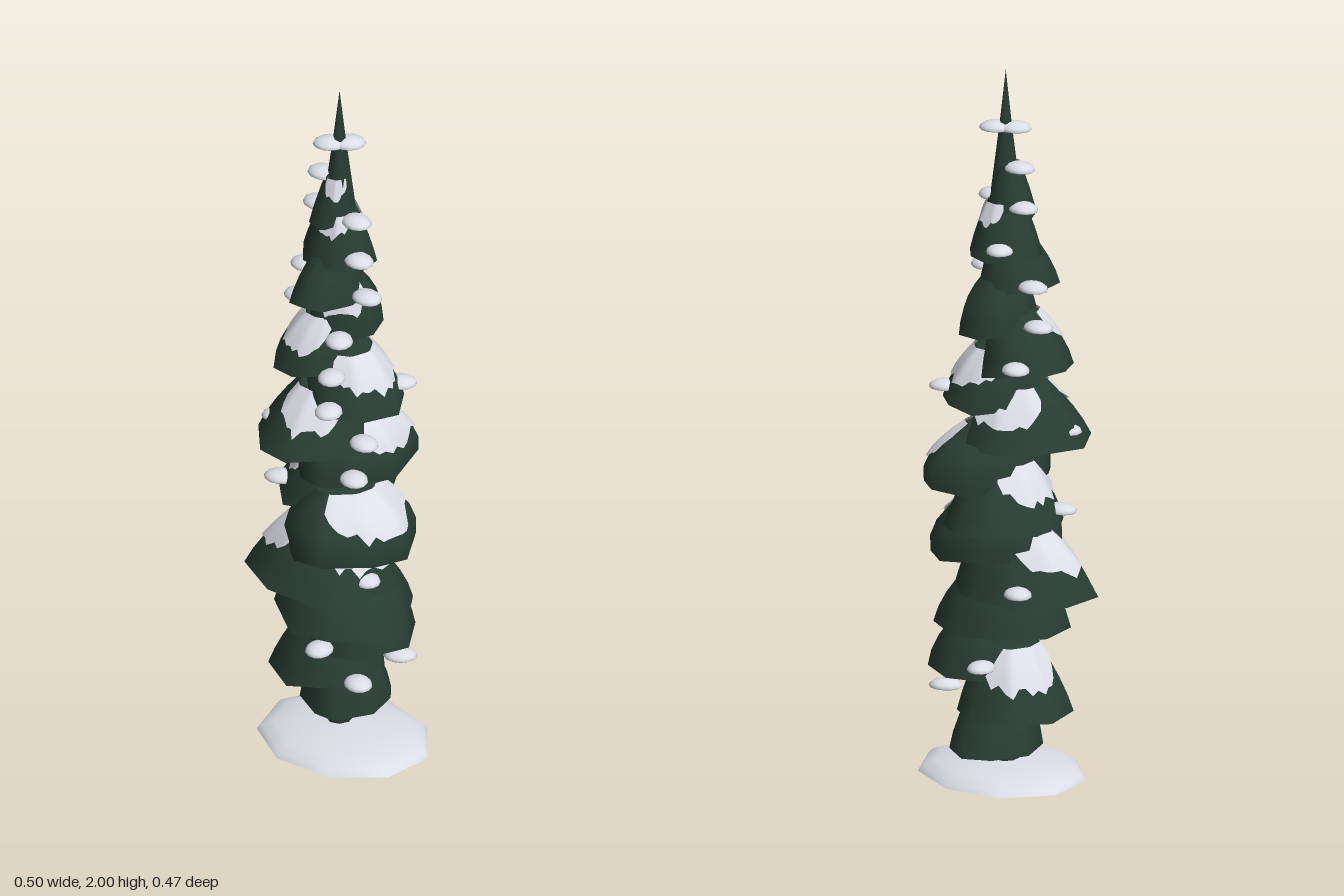
import * as THREE from 'three';

const AX = -0.02; // trunk axis x
const SIDES = 9;

// Each tier, from the ground up: rim extents xmin, xmax, zmin, zmax, then bulge
const TIERS = [
  [-0.15, 0.09, -0.18, 0.09, 0.10],
  [-0.23, 0.09, -0.17, 0.16, 0.06],
  [-0.12, 0.16, -0.20, 0.12, 0.14],
  [-0.16, 0.22, -0.17, 0.22, 0.10],
  [-0.24, 0.17, -0.14, 0.24, 0.06],
  [-0.14, 0.21, -0.18, 0.20, 0.22],
  [-0.23, 0.08, -0.21, 0.13, 0.06],
  [-0.13, 0.14, -0.23, 0.14, 0.22],
  [-0.20, 0.10, -0.15, 0.23, 0.06],
  [-0.11, 0.17, -0.16, 0.13, 0.10],
  [-0.19, 0.05, -0.11, 0.16, 0.10],
  [-0.11, 0.08, -0.14, 0.08, 0.16],
  [-0.11, 0.06, -0.08, 0.15, 0.08],
  [-0.14, 0.08, -0.11, 0.09, 0.06],
  [-0.10, 0.03, -0.06, 0.07, 0.04],
];

// Directions in degrees of the snow patches on each tier
const PATCHES = [
  [], [195], [], [], [150, 20], [5], [170], [-45], [80, 225],
  [0, -80], [105], [45], [240], [70, -100], [60],
];

// Directions in degrees of the snow clumps in each row
const CLUMPS = [
  [27, -45], [64, -122], [], [19, -157], [61], [150], [31], [21, 137],
  [55, -45], [52, -155], [178, 45], [178, 8], [-137, 13], [176, 7], [167], [-50, 135],
];

function seeded(seed) {
  return () => {
    seed = (seed * 16807) % 2147483647;
    return seed / 2147483647;
  };
}

// Irregular polygon filling the given extents
function rimPolygon(rand, x0, x1, z0, z1) {
  const turn = rand() * 6;
  const pts = [];
  for (let i = 0; i < SIDES; i++) {
    const a = turn + ((i + 0.35 * rand()) / SIDES) * Math.PI * 2;
    const r = 0.87 + 0.13 * rand();
    pts.push(new THREE.Vector2(Math.cos(a) * r, Math.sin(a) * r));
  }
  const box = new THREE.Box2().setFromPoints(pts);
  pts.forEach((p) => p.set(
    THREE.MathUtils.mapLinear(p.x, box.min.x, box.max.x, x0, x1),
    THREE.MathUtils.mapLinear(p.y, box.min.y, box.max.y, z0, z1)));
  return pts;
}

// Grid of points f(column, row) turned into a smooth surface
function gridGeometry(cols, rows, closed, f) {
  const pos = [], idx = [];
  const w = closed ? cols : cols + 1;
  for (let j = 0; j <= rows; j++) for (let i = 0; i < w; i++) pos.push(...f(i, j));
  for (let j = 0; j < rows; j++) {
    for (let i = 0; i < cols; i++) {
      const a = j * w + i, b = j * w + ((i + 1) % w), c = a + w, d = b + w;
      idx.push(a, c, b, b, c, d);
    }
  }
  const g = new THREE.BufferGeometry();
  g.setAttribute('position', new THREE.Float32BufferAttribute(pos, 3));
  g.setIndex(idx);
  g.computeVertexNormals();
  return g;
}

// Polygon facing down
function underside(pts, heights) {
  const c = pts.reduce((s, p) => s.add(p), new THREE.Vector2()).divideScalar(pts.length);
  const y = heights.reduce((s, h) => s + h, 0) / heights.length;
  return gridGeometry(pts.length, 1, true, (i, j) =>
    (j ? [pts[i].x, heights[i], pts[i].y] : [c.x, y, c.y]));
}

export function createModel() {
  const tree = new THREE.Group();
  tree.name = 'snowyTree';
  const material = (name, color, side) => {
    const m = new THREE.MeshStandardMaterial({ color, side });
    m.name = name;
    return m;
  };
  const green = material('dark needle green', 0x293d34, THREE.DoubleSide);
  const white = material('snow white', 0xe4e7f0, THREE.DoubleSide);
  const bark = material('dark bark', 0x2c3532, THREE.FrontSide);

  const add = (name, geo, mat, parent = tree) => {
    const m = new THREE.Mesh(geo, mat);
    m.name = name;
    parent.add(m);
    return m;
  };

  // Snow mound at the foot: low dome tapering to a thin edge
  const mound = Array.from({ length: SIDES }, (_, i) => {
    const a = ((i - 0.5) / SIDES) * Math.PI * 2;
    return new THREE.Vector2(0.005 + 0.257 * Math.cos(a), 0.005 + 0.217 * Math.sin(a));
  });
  add('snowMound', gridGeometry(SIDES, 5, true, (i, j) => {
    const a = j / 5 * Math.PI / 2;
    return [mound[i].x * Math.cos(a), 0.048 * Math.sin(a), mound[i].y * Math.cos(a)];
  }), white);
  add('moundBase', underside(mound, mound.map(() => 0)), white);

  // Trunk and pointed top
  add('trunk', new THREE.CylinderGeometry(0.025, 0.036, 1.7, 8), bark).position.set(AX, 0.87, 0);
  add('lowerTip', new THREE.CylinderGeometry(0.018, 0.045, 0.2, 6), green).position.set(AX, 1.75, 0);
  add('tip', new THREE.ConeGeometry(0.024, 0.2, 6), green).position.set(AX, 1.9, 0);

  // Drooping branch tiers with snow lying on their slopes
  TIERS.forEach(([x0, x1, z0, z1, bulge], k) => {
    const rand = seeded(1234 + k * 991);
    const tier = new THREE.Group();
    tier.name = 'branchTier' + (k + 1);
    tree.add(tier);
    const y0 = 0.09 + 0.107 * k;
    const y1 = y0 + 0.19 - 0.003 * k;
    const rim = rimPolygon(rand, x0, x1, z0, z1);
    const low = rim.map(() => y0 + 0.02 * (rand() - 0.3));

    // Point on the slope: u counts polygon corners, t runs from top 0 to rim 1
    const slope = (u, t, lift = 0) => {
      const i = Math.floor(u), f = u - i;
      const a = THREE.MathUtils.euclideanModulo(i, SIDES), b = (a + 1) % SIDES;
      const px = THREE.MathUtils.lerp(rim[a].x, rim[b].x, f) - AX;
      const pz = THREE.MathUtils.lerp(rim[a].y, rim[b].y, f);
      const s = 0.48 + 0.52 * t + bulge * 3.2 * t * (1 - t) + lift / Math.hypot(px, pz);
      const y = THREE.MathUtils.lerp(y1, THREE.MathUtils.lerp(low[a], low[b], f), t);
      return [AX + px * s, y + lift * 0.5, pz * s];
    };

    add('branches', gridGeometry(SIDES, 4, true, (i, j) => slope(i, 1 - j / 4)), green, tier);
    add('branchUnderside', underside(rim, low), green, tier);
    add('branchCrown', gridGeometry(SIDES, 1, true, (i, j) =>
      (j ? [AX, y1 + 0.02, 0] : slope(i, 0))), green, tier);

    // Rim position that lies most nearly in a given direction
    const towards = (angle) => {
      let best = 0, most = -Infinity;
      for (let u = 0; u < SIDES; u += 0.1) {
        const [x, , z] = slope(u, 1);
        const match = ((x - AX) * Math.cos(angle) + z * Math.sin(angle)) / Math.hypot(x - AX, z);
        if (match > most) [best, most] = [u, match];
      }
      return best;
    };

    // Ragged snow patches lifted just clear of the needles, smaller near the tip
    const size = k > 11 ? 0.65 : 1;
    PATCHES[k].forEach((deg) => {
      const n = 16;
      const mid = towards(THREE.MathUtils.degToRad(deg));
      const wide = size * (55 + 15 * rand()) / 360 * SIDES;
      const across = (i) => (i / n) * 2 - 1;
      const edge = Array.from({ length: n + 1 }, (_, i) =>
        0.6 * size * Math.sqrt(1 - 0.9 * across(i) ** 2) * (0.85 + 0.3 * rand()));
      add('snowPatch', gridGeometry(n, 4, false, (i, j) =>
        slope(mid + wide * across(i), edge[i] * (1 - j / 4), 0.006)), white, tier);
    });
  });

  // Snow clumps, domed above and flatter below, closing in towards the tip
  const clump = new THREE.SphereGeometry(1, 12, 8);
  const cp = clump.attributes.position;
  for (let i = 0; i < cp.count; i++) if (cp.getY(i) < 0) cp.setY(i, cp.getY(i) * 0.4);
  clump.computeVertexNormals();
  CLUMPS.forEach((angles, row) => angles.forEach((deg) => {
    const a = THREE.MathUtils.degToRad(deg);
    const y = 0.24 + 0.1063 * row;
    const r = Math.min(0.165, (1.95 - y) * 0.23);
    const m = add('snowClump', clump, white);
    m.position.set(AX + r * Math.cos(a), y, r * Math.sin(a));
    m.scale.set(0.046, 0.021, 0.038);
    m.rotation.y = -a;
  }));

  return tree;
}
